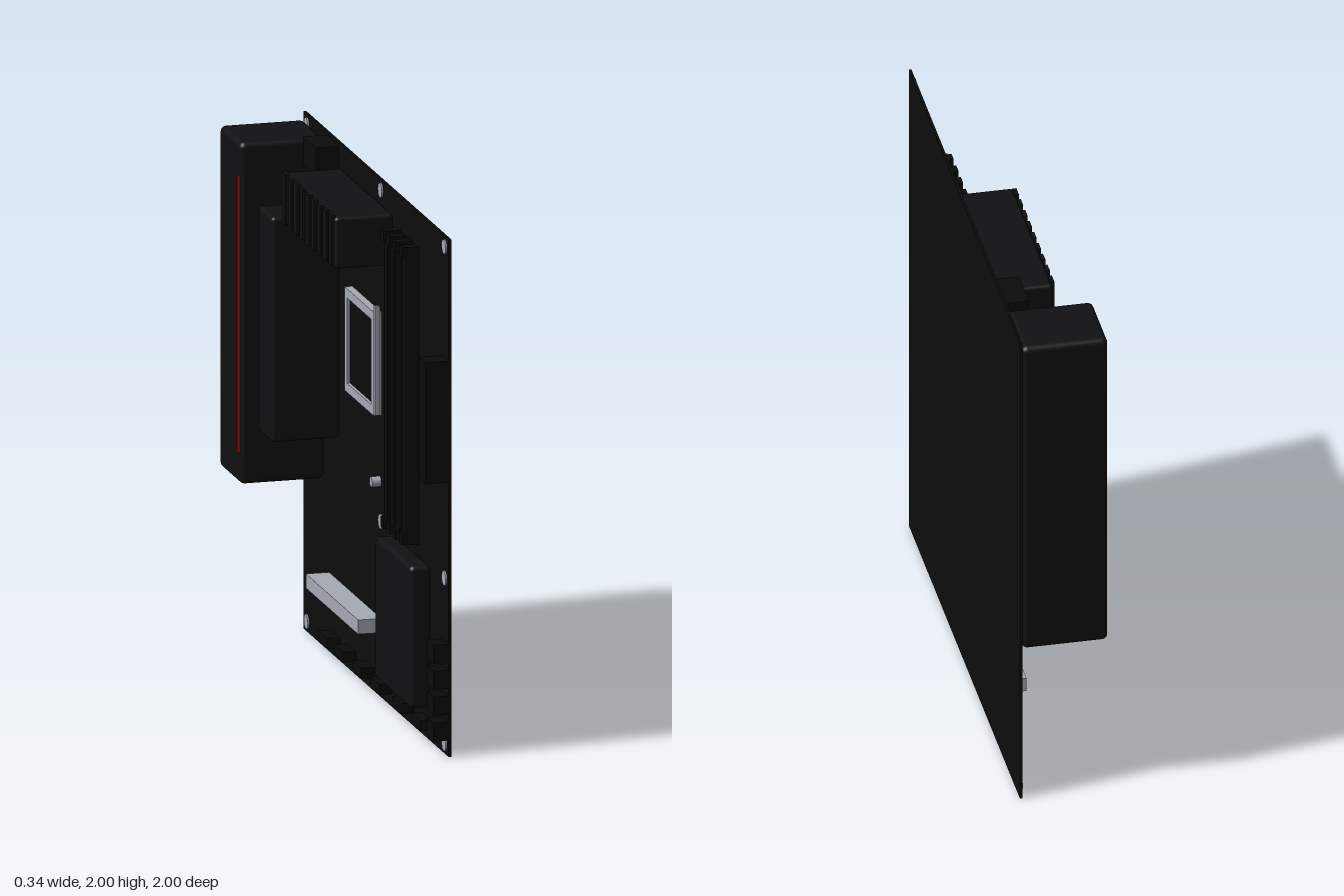
import * as THREE from 'three';
import { RoundedBoxGeometry } from 'three/addons/geometries/RoundedBoxGeometry.js';

const mat = (name, color) => {
  const m = new THREE.MeshStandardMaterial({ color });
  m.name = name;
  return m;
};

export function createModel() {
  const root = new THREE.Group();
  root.name = 'circuitBoard';
  const boardBlack = mat('board black', 0x0d0d0e);
  const metalBlack = mat('heatsink black', 0x111113);
  const plasticBlack = mat('plastic black', 0x0b0b0c);
  const steel = mat('steel grey', 0xa6aab4);
  const red = mat('accent red', 0xb01418);

  const FACE = 0.16; // component side of the board, parts grow towards -x

  // Box given by its ranges; radius > 0 rounds the edges
  function block(name, material, [x0, x1], [y0, y1], [z0, z1], radius = 0) {
    const size = [x1 - x0, y1 - y0, z1 - z0];
    const geo = radius
      ? new RoundedBoxGeometry(...size, 3, radius)
      : new THREE.BoxGeometry(...size);
    const mesh = new THREE.Mesh(geo, material);
    mesh.name = name;
    mesh.position.set((x0 + x1) / 2, (y0 + y1) / 2, (z0 + z1) / 2);
    root.add(mesh);
    return mesh;
  }

  // Cylinder standing out from the board
  function stud(name, material, radius, top, y, z) {
    const mesh = new THREE.Mesh(new THREE.CylinderGeometry(radius, radius, FACE - top, 20), material);
    mesh.name = name;
    mesh.rotation.z = Math.PI / 2;
    mesh.position.set((FACE + top) / 2, y, z);
    root.add(mesh);
  }

  block('board', boardBlack, [FACE, 0.17], [0, 2], [-1, 1]);

  // Rear port cover with its accent line
  block('portCover', metalBlack, [-0.168, FACE], [0.65, 1.97], [-1, -0.71], 0.022);
  block('accentLine', red, [-0.175, -0.166], [0.77, 1.84], [-0.735, -0.722]);

  // Power stage heatsinks
  block('sideHeatsink', metalBlack, [-0.105, FACE], [0.86, 1.73], [-0.69, -0.5], 0.015);
  block('topHeatsink', metalBlack, [-0.068, FACE], [1.71, 1.91], [-0.48, 0.24], 0.015);
  for (let i = 0; i < 9; i++) {
    const z = -0.44 + i * 0.08;
    block('heatsinkFin', metalBlack, [-0.076, -0.06], [1.72, 1.915], [z - 0.022, z + 0.022]);
  }

  // Chipset heatsink
  block('chipsetHeatsink', metalBlack, [0.077, FACE], [0.13, 0.68], [0.27, 0.76], 0.02);

  // Processor socket: steel frame, dark centre, locking lever
  const outline = new THREE.Shape([
    new THREE.Vector2(-0.2, -0.2), new THREE.Vector2(0.2, -0.2),
    new THREE.Vector2(0.2, 0.2), new THREE.Vector2(-0.2, 0.2),
  ]);
  outline.holes.push(new THREE.Path([
    new THREE.Vector2(-0.165, -0.165), new THREE.Vector2(-0.165, 0.165),
    new THREE.Vector2(0.165, 0.165), new THREE.Vector2(0.165, -0.165),
  ]));
  const frame = new THREE.Mesh(
    new THREE.ExtrudeGeometry(outline, { depth: 0.03, bevelEnabled: false }), steel);
  frame.name = 'socketFrame';
  frame.rotation.y = -Math.PI / 2;
  frame.position.set(FACE, 1.29, -0.13);
  root.add(frame);
  block('socketCentre', plasticBlack, [0.142, FACE], [1.12, 1.46], [-0.3, 0.04]);
  block('socketLever', steel, [0.125, 0.145], [1.1, 1.52], [0.085, 0.105]);

  // Memory slots with end clips
  for (let i = 0; i < 4; i++) {
    const z = 0.31 + i * 0.085;
    block('memorySlot', plasticBlack, [0.11, FACE], [0.72, 1.87], [z - 0.025, z + 0.025]);
    for (const y of [0.72, 1.83])
      block('memoryClip', plasticBlack, [0.095, FACE], [y, y + 0.04], [z - 0.02, z + 0.02]);
  }

  // Expansion slot in steel armour, with a dark contact groove
  block('expansionSlot', steel, [0.07, FACE], [0.25, 0.305], [-0.65, 0.07]);

  // Power connectors
  block('mainPowerConnector', plasticBlack, [0.07, FACE], [1.06, 1.53], [0.91, 1]);
  block('processorPowerConnector', plasticBlack, [0.07, FACE], [1.88, 1.985], [-0.69, -0.51]);

  // Drive ports on the edge
  for (let i = 0; i < 4; i++) {
    const y = 0.1 + i * 0.1;
    block('drivePort', plasticBlack, [0.1, FACE], [y - 0.036, y + 0.036], [0.91, 1]);
  }

  // Pin headers along the bottom edge
  for (const z of [-0.62, -0.4, -0.15, 0.1, 0.4, 0.66])
    block('pinHeader', plasticBlack, [0.11, FACE], [0.05, 0.09], [z, z + 0.12]);

  // Mounting screws and one drive standoff
  for (const z of [-0.95, 0.07, 0.95])
    for (const y of [0.04, 0.68, 1.96])
      if (z !== 0.07 || y > 0.1) stud('mountingScrew', steel, 0.028, 0.154, y, z);
  stud('driveStandoff', steel, 0.02, 0.125, 0.83, 0.05);

  return root;
}
